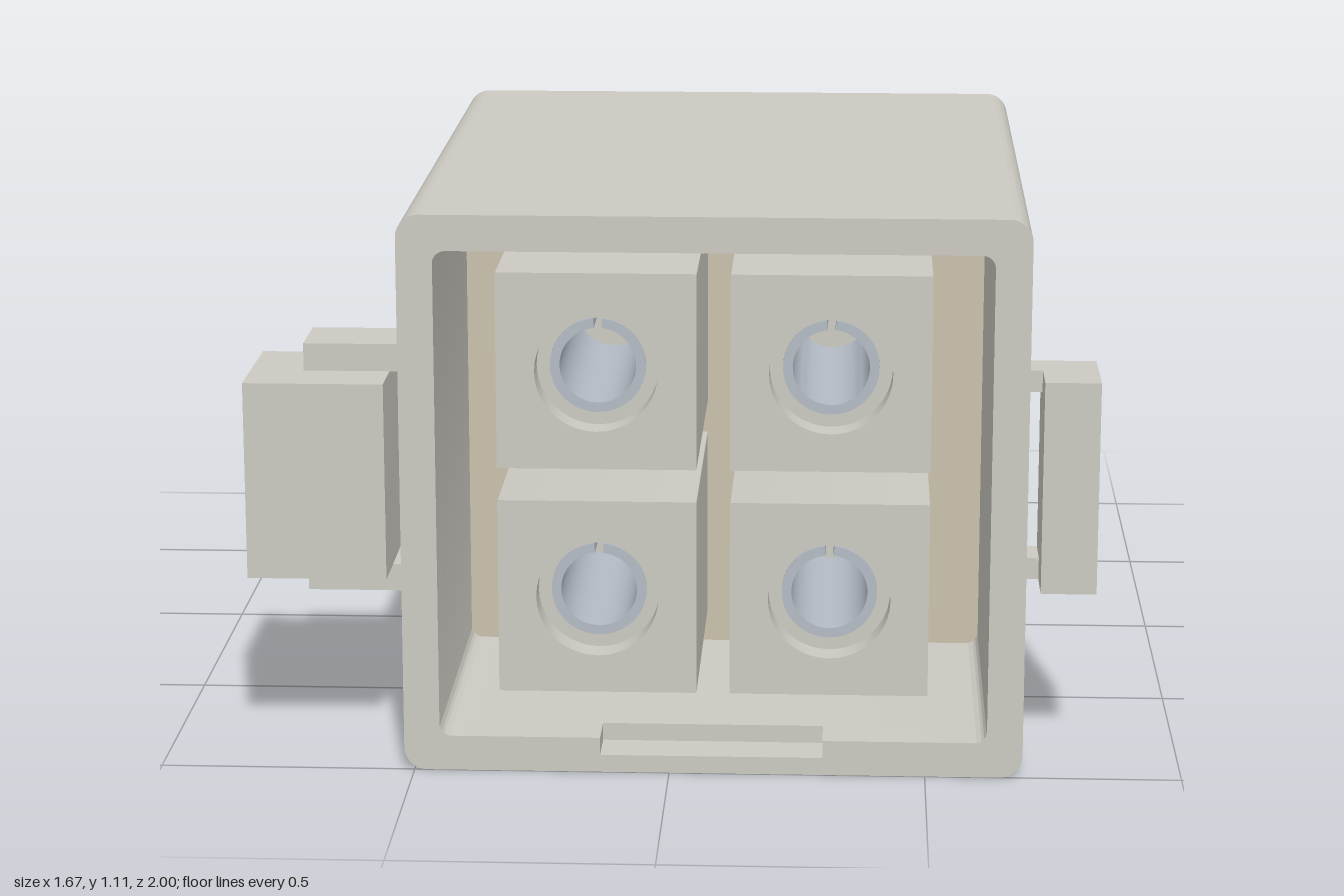
import * as THREE from 'three';
import { toCreasedNormals } from 'three/addons/utils/BufferGeometryUtils.js';

const housing = new THREE.MeshStandardMaterial({ color: 0xcccac2 });
const insert = new THREE.MeshStandardMaterial({ color: 0xcac2ae });
const metal = new THREE.MeshStandardMaterial({ color: 0xb4bcc6 });
const rubber = new THREE.MeshStandardMaterial({ color: 0x151618 });

// Rounded rectangle given by its edges
function roundRect(target, x0, x1, y0, y1, r) {
  target.moveTo(x0 + r, y0);
  target.lineTo(x1 - r, y0);
  target.absarc(x1 - r, y0 + r, r, -Math.PI / 2, 0);
  target.lineTo(x1, y1 - r);
  target.absarc(x1 - r, y1 - r, r, 0, Math.PI / 2);
  target.lineTo(x0 + r, y1);
  target.absarc(x0 + r, y1 - r, r, Math.PI / 2, Math.PI);
  target.lineTo(x0, y0 + r);
  target.absarc(x0 + r, y0 + r, r, Math.PI, Math.PI * 1.5);
  return target;
}

function add(group, name, geometry, material) {
  const mesh = new THREE.Mesh(geometry, material);
  mesh.name = name;
  group.add(mesh);
  return mesh;
}

// Extrude a shape from z0 to z1
function extrude(shape, z0, z1) {
  const geo = new THREE.ExtrudeGeometry(shape, { depth: z1 - z0, bevelEnabled: false, curveSegments: 20 });
  return toCreasedNormals(geo.translate(0, 0, z0), 0.5);
}

// Box given by its limits
function box(x0, x1, y0, y1, z0, z1) {
  return new THREE.BoxGeometry(x1 - x0, y1 - y0, z1 - z0)
    .translate((x0 + x1) / 2, (y0 + y1) / 2, (z0 + z1) / 2);
}

const outer = () => roundRect(new THREE.Shape(), -0.52, 0.69, 0, 1.11, 0.045);
const square = (cx, cy, h) => roundRect(new THREE.Shape(), cx - h, cx + h, cy - h, cy + h, 0.002);
const circle = (cx, cy, r) => new THREE.Path().absarc(cx, cy, r, 0, Math.PI * 2);

export function createModel() {
  const model = new THREE.Group();
  const floorZ = 0.35, notchZ = 0.91, blockZ = 0.91, seatZ = 0.85;

  // Housing: solid rear, hollow sleeve, and front rim with a notch
  const body = new THREE.Group();
  body.name = 'housing';
  model.add(body);
  add(body, 'housingRear', extrude(outer(), -0.43, floorZ), housing);

  const sleeve = outer();
  sleeve.holes.push(roundRect(new THREE.Path(), -0.45, 0.62, 0.07, 1.04, 0.025));
  add(body, 'housingSleeve', extrude(sleeve, floorZ, notchZ), housing);

  const rim = outer();
  const mouth = new THREE.Path();
  const r = 0.025;
  mouth.moveTo(-0.45 + r, 0.07);
  mouth.lineTo(-0.135, 0.07);
  mouth.lineTo(-0.135, 0.035);
  mouth.lineTo(0.3, 0.035);
  mouth.lineTo(0.3, 0.07);
  mouth.lineTo(0.62 - r, 0.07);
  mouth.absarc(0.62 - r, 0.07 + r, r, -Math.PI / 2, 0);
  mouth.absarc(0.62 - r, 1.04 - r, r, 0, Math.PI / 2);
  mouth.absarc(-0.45 + r, 1.04 - r, r, Math.PI / 2, Math.PI);
  mouth.absarc(-0.45 + r, 0.07 + r, r, Math.PI, Math.PI * 1.5);
  rim.holes.push(mouth);
  add(body, 'housingRim', extrude(rim, notchZ, 1), housing);

  // Tinted floor of the cavity
  add(model, 'cavityFloor', box(-0.45, 0.62, 0.07, 1.04, floorZ - 0.02, floorZ + 0.01), insert);

  // Four terminal blocks, each with a stepped bore and a slit metal sleeve
  for (const cx of [-0.145, 0.31]) {
    for (const cy of [0.33, 0.785]) {
      const block = new THREE.Group();
      block.name = 'terminalBlock';
      model.add(block);

      const front = square(cx, cy, 0.195);
      front.holes.push(circle(cx, cy, 0.12));
      add(block, 'blockFront', extrude(front, seatZ, blockZ), housing);

      const back = square(cx, cy, 0.195);
      back.holes.push(circle(cx, cy, 0.094));
      add(block, 'blockBack', extrude(back, floorZ, seatZ), housing);
      add(block, 'boreFloor', new THREE.CircleGeometry(0.094, 32).translate(cx, cy, floorZ + 0.015), housing);

      const slit = 0.1, up = Math.PI / 2;
      const ring = new THREE.Shape();
      ring.absarc(cx, cy, 0.094, up + slit, up - slit + Math.PI * 2, false);
      ring.absarc(cx, cy, 0.075, up - slit + Math.PI * 2, up + slit, true);
      ring.closePath();
      add(block, 'contactSleeve', extrude(ring, floorZ, seatZ + 0.005), metal);
    }
  }

  // Hollow cable sheath at the rear
  const sheath = new THREE.Shape().absarc(0.083, 0.557, 0.32, 0, Math.PI * 2);
  sheath.holes.push(circle(0.083, 0.557, 0.23));
  add(model, 'cableSheath', extrude(sheath, -1, -0.43), rubber);
  add(model, 'sheathFloor', new THREE.CircleGeometry(0.23, 40).rotateY(Math.PI).translate(0.083, 0.557, -0.435), rubber);

  // Wide latch carried by two arms
  const latch = new THREE.Group();
  latch.name = 'wideLatch';
  model.add(latch);
  add(latch, 'latchPad', box(-0.835, -0.56, 0.36, 0.755, 0.64, 0.91), housing);
  for (const y of [0.305, 0.755]) {
    add(latch, 'latchArm', box(-0.73, -0.52, y, y + 0.055, 0.66, 0.8), housing);
  }

  // Narrow catch on the opposite side
  const hook = new THREE.Group();
  hook.name = 'narrowCatch';
  model.add(hook);
  add(hook, 'catchPad', box(0.723, 0.832, 0.345, 0.77, 0.715, 0.9), housing);
  for (const y of [0.345, 0.727]) {
    add(hook, 'catchArm', box(0.69, 0.723, y, y + 0.043, 0.715, 0.8), housing);
  }

  return model;
}
